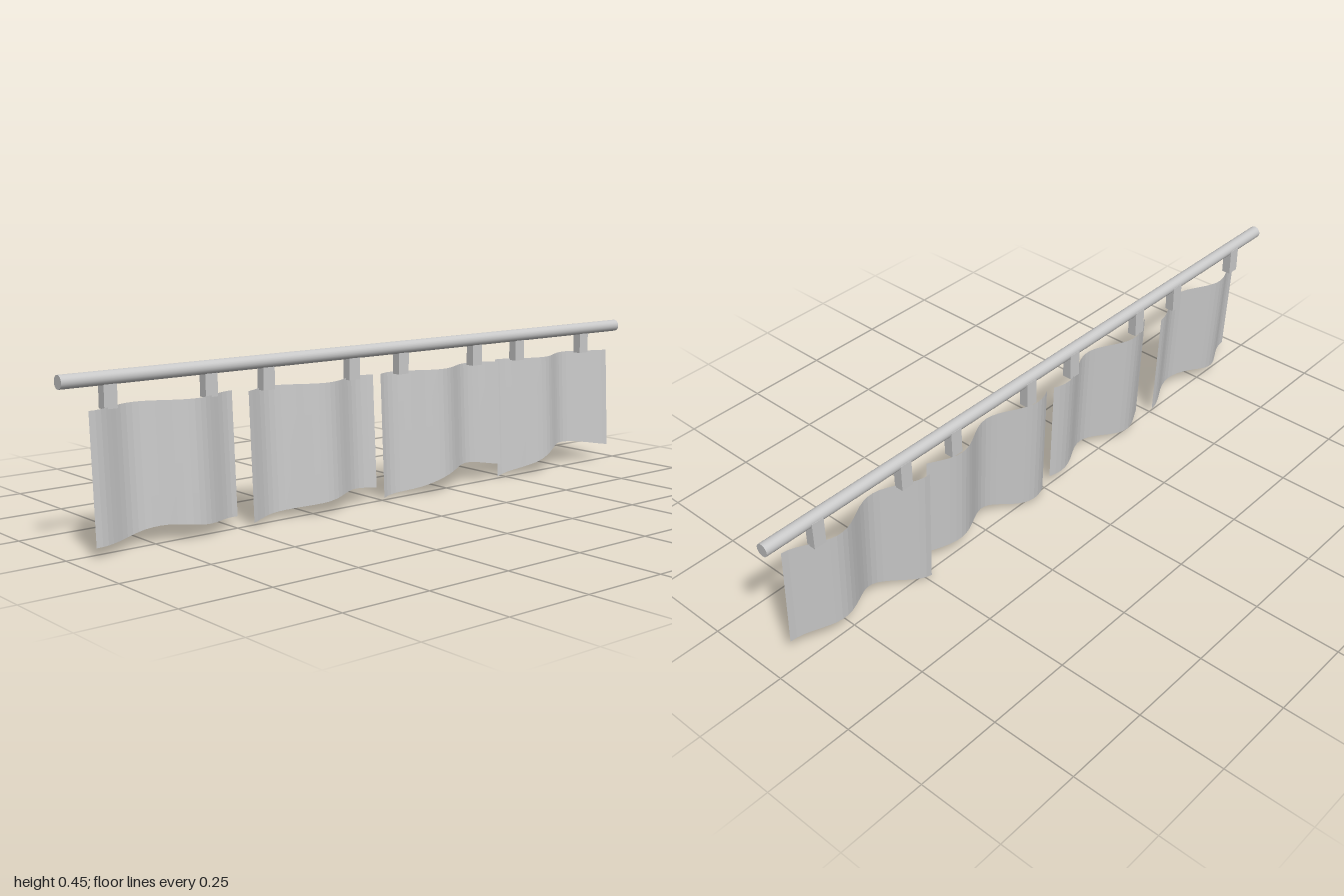
import * as THREE from 'three';

const TOP = 0.365, WIDTH = 0.449, ROD_Z = -0.008;

// wavy cloth: pleats run across the width, hem height follows a short curve
function clothGeometry(phase, hem) {
  const curve = new THREE.CatmullRomCurve3(hem.map((y, i) => new THREE.Vector3(i / (hem.length - 1), y, 0)));
  const geometry = new THREE.PlaneGeometry(1, 1, 24, 4);
  const p = geometry.attributes.position;
  for (let i = 0; i < p.count; i++) {
    const u = p.getX(i) + 0.5, v = p.getY(i) + 0.5;
    const y = THREE.MathUtils.lerp(curve.getPoint(u).y, TOP, v);
    const lean = 0.05 * (TOP - y);
    p.setXYZ(i, u * WIDTH, y, ROD_Z + lean + 0.027 * Math.sin(3 * Math.PI * u + phase));
  }
  geometry.computeVertexNormals();
  return geometry;
}

export function createModel() {
  const group = new THREE.Group();
  const grey = new THREE.MeshStandardMaterial({ color: 0xc8c8c8 });
  grey.name = 'grey';
  const clothGrey = grey.clone();
  clothGrey.name = 'cloth grey';
  clothGrey.side = THREE.DoubleSide;
  clothGrey.flatShading = true;

  const add = (name, geometry, material, x, y, z) => {
    const mesh = new THREE.Mesh(geometry, material);
    mesh.name = name;
    mesh.position.set(x, y, z);
    group.add(mesh);
  };

  // horizontal rod
  add('rod', new THREE.CylinderGeometry(0.018, 0.018, 2, 24).rotateZ(Math.PI / 2), grey, 0, 0.437, ROD_Z);

  // four cloths, each hung from two tabs
  const hems = [
    [0.031, 0.031, 0.048, 0.037, 0.03],
    [0.016, 0.022, 0.036, 0.048, 0.041],
    [0.008, 0.019, 0.053, 0.064, 0.051],
    [0.003, 0.035, 0.074, 0.073, 0.057],
  ];
  const tab = new THREE.BoxGeometry(0.037, 0.077, 0.027);
  hems.forEach((hem, i) => {
    const left = -0.936 + i * 0.4725;
    add('cloth' + (i + 1), clothGeometry(1.5 + 1.02 * i, hem), clothGrey, left, 0, 0);
    for (const offset of [0.072, 0.364]) {
      add('hangingTab', tab, grey, left + offset, 0.3985, -0.0135);
    }
  });
  return group;
}
